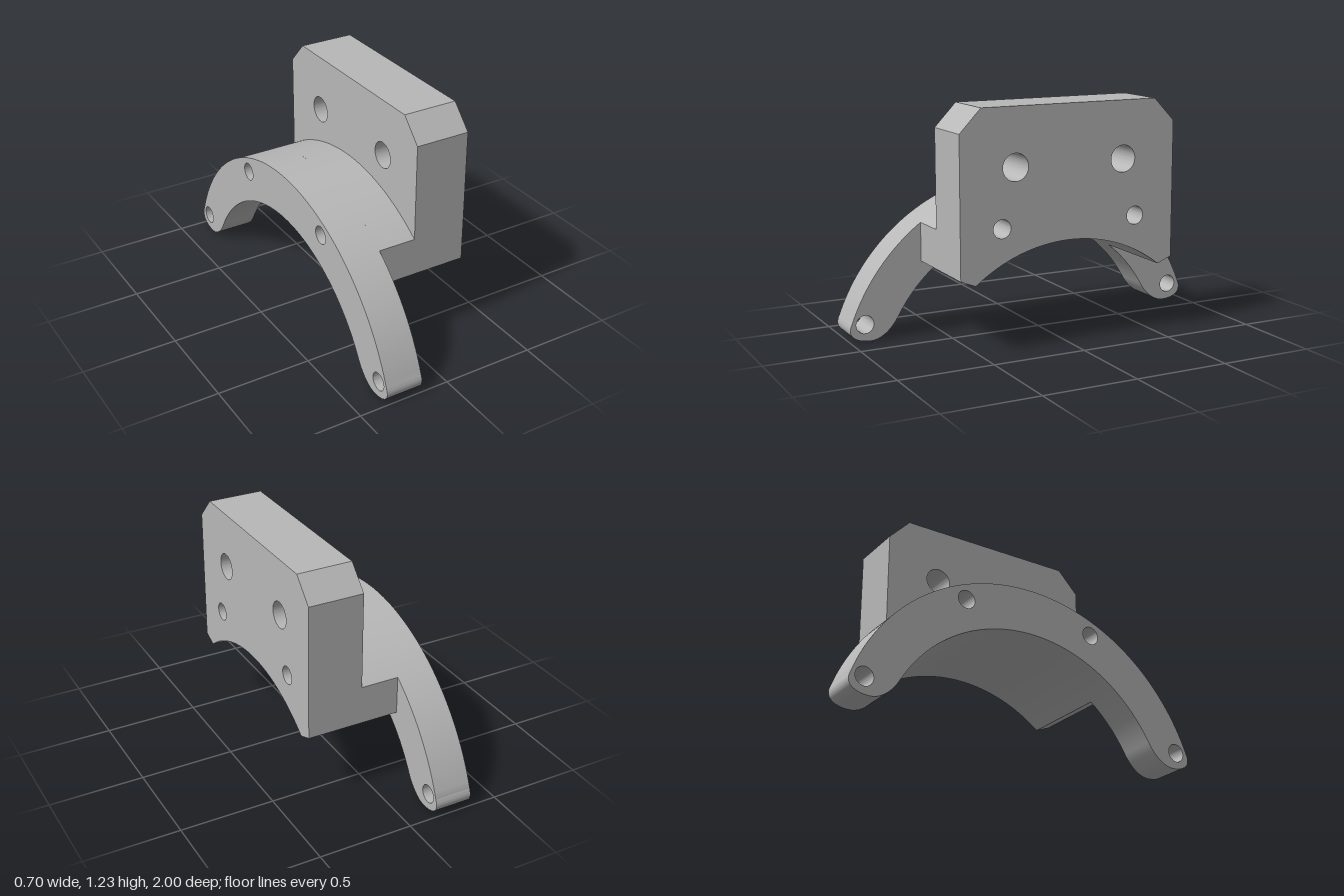
import * as THREE from 'three';
import { toCreasedNormals } from 'three/addons/utils/BufferGeometryUtils.js';

// Outer and inner arcs of the arch (profile plane: horizontal = z, vertical = y)
const OUTER = { y: -0.273, r: 1.058 };
const INNER = { y: -0.31, r: 0.85 };
const HALF = 0.605; // half width of plate and bridge

const innerArc = (shape, angle) =>
  shape.absarc(0, INNER.y, INNER.r, Math.PI - angle, angle, true);

// Mirrored pair of round holes
function addHoles(shape, z, y, r) {
  for (const s of [-1, 1]) {
    const hole = new THREE.Path();
    hole.absarc(s * z, y, r, 0, Math.PI * 2, true);
    shape.holes.push(hole);
  }
}

// Chamfered underside shared by plate and bridge, from left edge to right edge
function underside(shape) {
  shape.lineTo(-HALF, 0.39);
  innerArc(shape, Math.acos(0.525 / INNER.r));
  shape.lineTo(HALF, 0.39);
  shape.closePath();
}

// Full arch with rounded feet
function archShape() {
  const s = new THREE.Shape();
  const a = Math.acos(0.99 / OUTER.r);
  const b = Math.asin((0.11 - INNER.y) / INNER.r);
  s.absarc(0, OUTER.y, OUTER.r, a, Math.PI - a, false);
  s.bezierCurveTo(-1.025, 0.03, -0.96, 0, -0.89, 0);
  s.bezierCurveTo(-0.82, 0, -0.764, 0.066, -0.739, 0.11);
  innerArc(s, b);
  s.bezierCurveTo(0.764, 0.066, 0.82, 0, 0.89, 0);
  s.bezierCurveTo(0.96, 0, 1.025, 0.03, 0.99, 0.1);
  addHoles(s, 0.92, 0.09, 0.048);
  addHoles(s, 0.38, 0.63, 0.048);
  return s;
}

// Short arch section joining the arch to the plate
function bridgeShape() {
  const s = new THREE.Shape();
  const a = Math.acos(HALF / OUTER.r);
  s.absarc(0, OUTER.y, OUTER.r, a, Math.PI - a, false);
  underside(s);
  addHoles(s, 0.38, 0.63, 0.048);
  return s;
}

// Upright mounting plate with clipped top corners
function plateShape() {
  const s = new THREE.Shape();
  s.moveTo(HALF, 1.11);
  s.lineTo(0.49, 1.23);
  s.lineTo(-0.49, 1.23);
  s.lineTo(-HALF, 1.11);
  underside(s);
  addHoles(s, 0.305, 0.93, 0.07);
  addHoles(s, 0.38, 0.63, 0.048);
  return s;
}

export function createModel() {
  const group = new THREE.Group();
  group.name = 'mountingBracket';
  const metal = new THREE.MeshStandardMaterial({ color: 0xb8b8b8 });
  metal.name = 'grey metal';

  // Extrude a profile along x between two positions
  const addPart = (name, shape, x0, x1) => {
    const geo = new THREE.ExtrudeGeometry(shape, {
      depth: x1 - x0, bevelEnabled: false, curveSegments: 40,
    });
    geo.rotateY(Math.PI / 2);
    geo.translate(x0, 0, 0);
    const mesh = new THREE.Mesh(toCreasedNormals(geo, 0.4), metal);
    mesh.name = name;
    group.add(mesh);
  };

  addPart('arch', archShape(), -0.35, -0.15);
  addPart('bridge', bridgeShape(), -0.15, 0.055);
  addPart('plate', plateShape(), 0.055, 0.35);
  return group;
}
